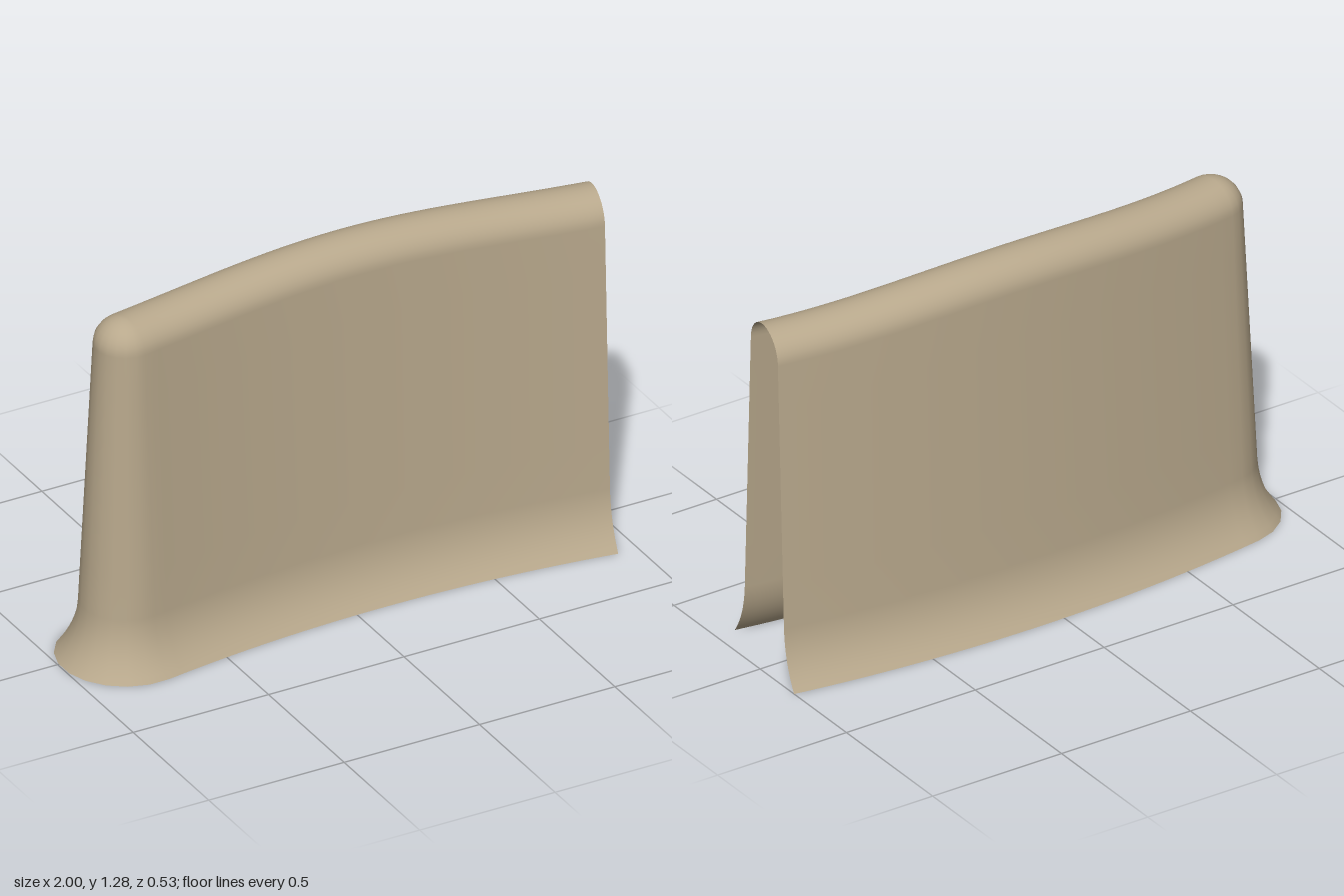
import * as THREE from 'three';
import { mergeVertices } from 'three/addons/utils/BufferGeometryUtils.js';

const RADIUS = 5.4, SWEEP = 0.161;     // plan arc of the wall
const MID_X = 0.098, MID_Z = -0.04;    // crest of the arc
const SPAN_STEPS = 32, CAP_STEPS = 10;

// Half section as [half width, height]: flared foot, tapering side, round top
function makeProfile() {
  const foot = new THREE.CubicBezierCurve(
    new THREE.Vector2(0.23, 0), new THREE.Vector2(0.19, 0.05),
    new THREE.Vector2(0.158, 0.11), new THREE.Vector2(0.152, 0.2));
  const points = foot.getPoints(8);
  for (let i = 1; i <= 6; i++) {
    const t = i / 6;
    points.push(new THREE.Vector2(0.152 - 0.047 * t, 0.2 + 0.95 * t));
  }
  for (let i = 1; i <= 10; i++) {
    const a = (i / 10) * Math.PI / 2;
    points.push(new THREE.Vector2(i === 10 ? 0 : 0.105 * Math.cos(a), 1.15 + 0.097 * Math.sin(a)));
  }
  return points;
}

// Stations around the plan: back side, round left end, front side
function makeStations() {
  const stations = [];
  const add = (arc, dir) => stations.push({
    x: MID_X + RADIUS * Math.sin(arc),
    z: MID_Z + RADIUS * (1 - Math.cos(arc)),
    nx: Math.cos(dir), nz: Math.sin(dir),
    lift: 1 + 0.0135 * (1 + Math.cos(Math.PI * arc / SWEEP)),
  });
  for (let i = 0; i <= SPAN_STEPS; i++) {
    const arc = SWEEP * (1 - 2 * i / SPAN_STEPS);
    add(arc, arc - Math.PI / 2);
  }
  for (let i = 1; i < CAP_STEPS; i++) {
    add(-SWEEP, -SWEEP - Math.PI / 2 - Math.PI * i / CAP_STEPS);
  }
  for (let i = 0; i <= SPAN_STEPS; i++) {
    const arc = SWEEP * (-1 + 2 * i / SPAN_STEPS);
    add(arc, arc + Math.PI / 2);
  }
  return stations;
}

function makeShell() {
  const profile = makeProfile(), stations = makeStations();
  const rows = profile.length, positions = [], index = [];
  for (const s of stations) {
    for (const p of profile) {
      positions.push(s.x + s.nx * p.x, p.y * s.lift, s.z + s.nz * p.x);
    }
  }
  for (let u = 0; u < stations.length - 1; u++) {
    const onCap = u >= SPAN_STEPS && u < SPAN_STEPS + CAP_STEPS;
    for (let v = 0; v < rows - 1; v++) {
      const a = u * rows + v, b = a + rows;
      index.push(a, b, b + 1);
      // the round end closes to a single point at the ridge
      if (!(onCap && v === rows - 2)) index.push(a, b + 1, a + 1);
    }
  }
  const geometry = new THREE.BufferGeometry();
  geometry.setAttribute('position', new THREE.Float32BufferAttribute(positions, 3));
  geometry.setIndex(index);
  // weld the ridge so shading runs smoothly over the top
  const welded = mergeVertices(geometry, 1e-4);
  welded.computeVertexNormals();
  return welded;
}

export function createModel() {
  const group = new THREE.Group();
  group.name = 'curvedWall';
  const shell = new THREE.Mesh(makeShell(), new THREE.MeshStandardMaterial({
    color: 0xb8a88c, side: THREE.DoubleSide,
  }));
  shell.name = 'wallShell';
  group.add(shell);
  return group;
}
